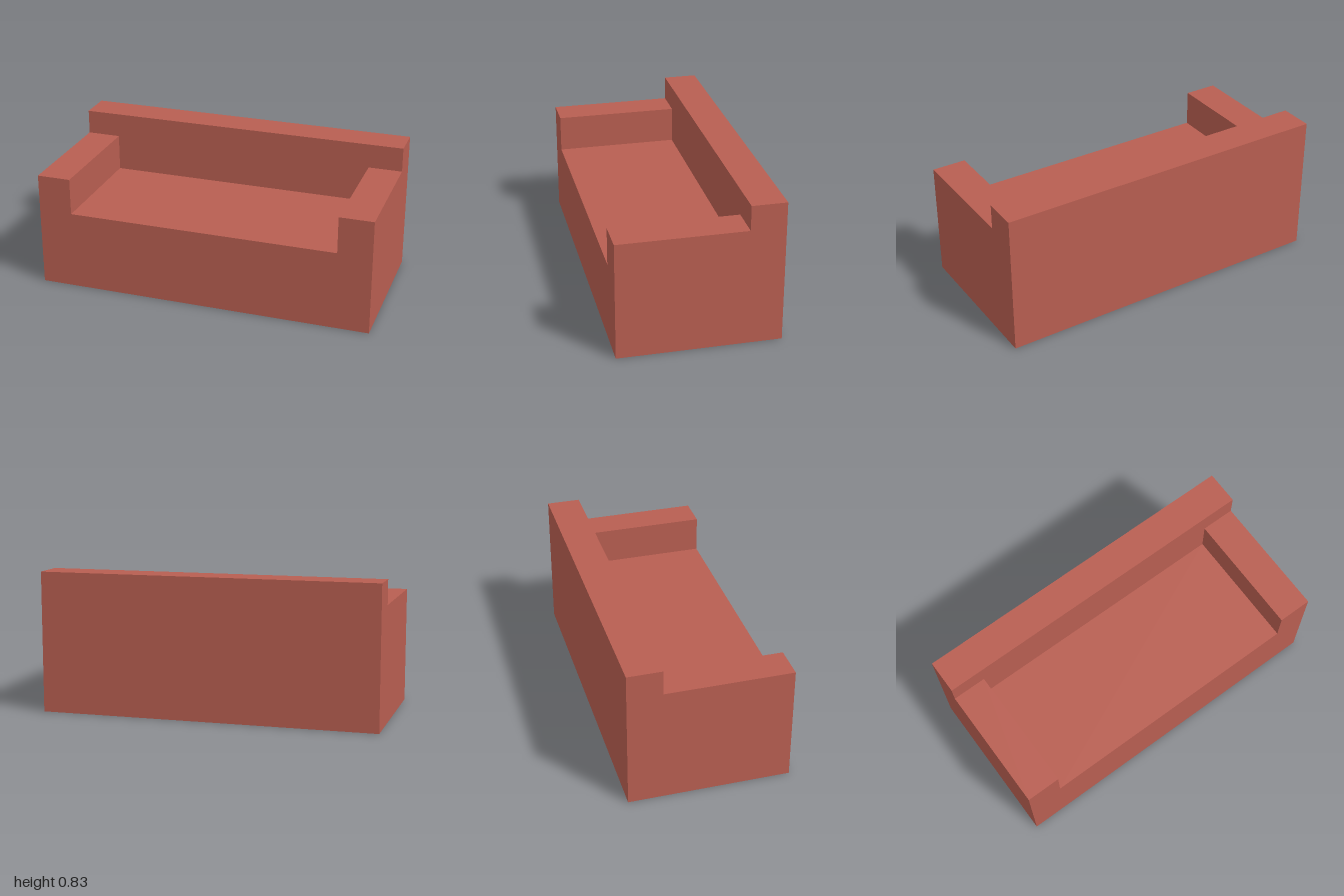
import * as THREE from 'three';

export function createModel() {
  const group = new THREE.Group();
  group.name = 'sofa';
  const fabric = new THREE.MeshStandardMaterial({ color: 0xb85e51 });
  fabric.name = 'terracotta fabric';

  const halfWidth = 1, halfDepth = 0.467;
  const armWidth = 0.2, backDepth = 0.2;
  const seatHeight = 0.47, armHeight = 0.688, backHeight = 0.833;
  const backFront = -halfDepth + backDepth;

  // Box given by its x, y and z ranges
  function block(name, [x0, x1], [y0, y1], [z0, z1]) {
    const mesh = new THREE.Mesh(new THREE.BoxGeometry(x1 - x0, y1 - y0, z1 - z0), fabric);
    mesh.position.set((x0 + x1) / 2, (y0 + y1) / 2, (z0 + z1) / 2);
    mesh.name = name;
    group.add(mesh);
  }

  // Backrest across the full width
  block('backrest', [-halfWidth, halfWidth], [0, backHeight], [-halfDepth, backFront]);

  // Seat between the arms
  const inner = halfWidth - armWidth;
  block('seat', [-inner, inner], [0, seatHeight], [backFront, halfDepth]);

  // Arms, flush with the seat front
  block('leftArm', [inner, halfWidth], [0, armHeight], [backFront, halfDepth]);
  block('rightArm', [-halfWidth, -inner], [0, armHeight], [backFront, halfDepth]);

  return group;
}
